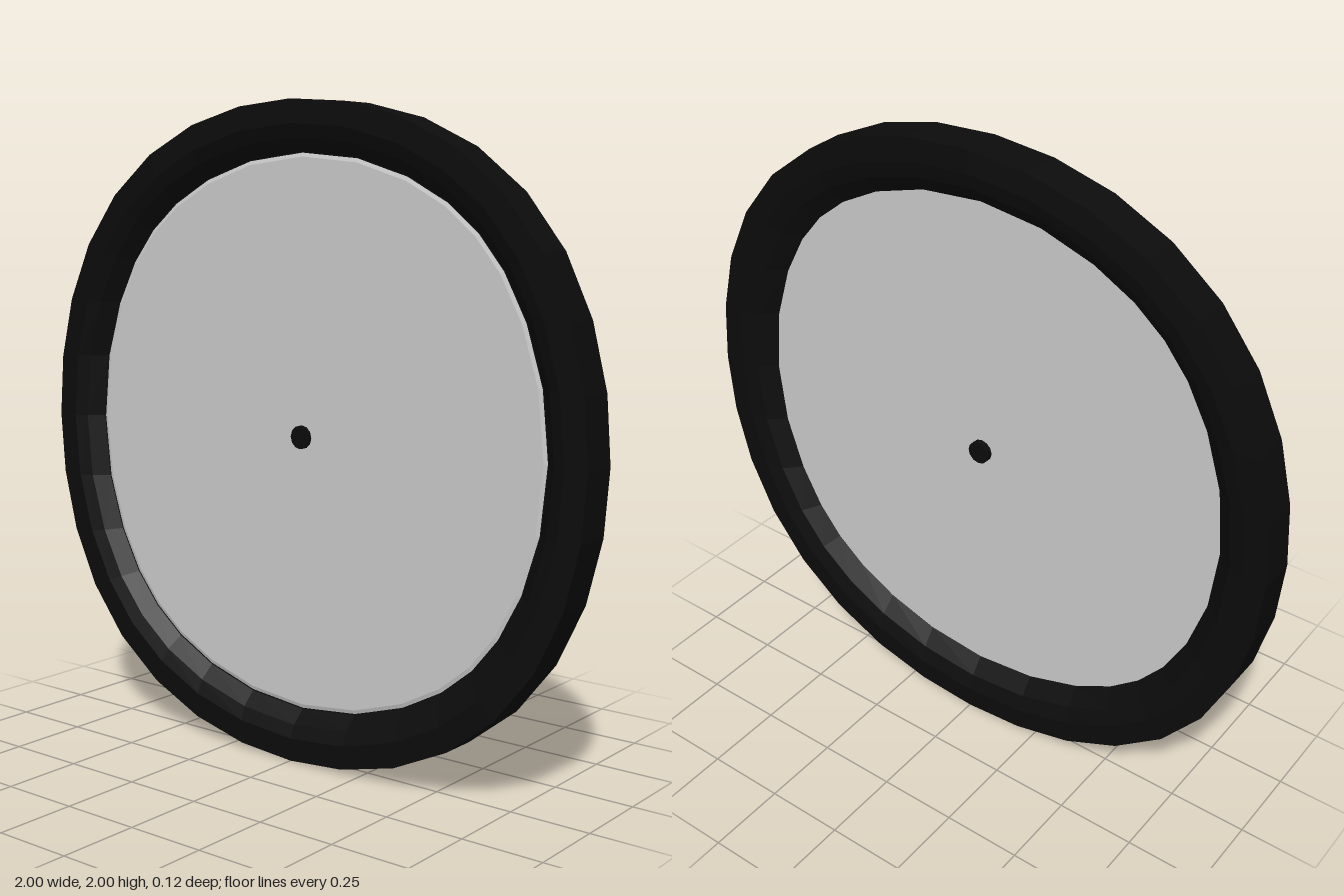
import * as THREE from 'three';

const SIDES = 32;

// Slightly squared circle of size s; inner loops bunch a little toward the diagonals
function rimPoint(s, z, j) {
  const a = (j / SIDES) * Math.PI * 2;
  const r = s * (1 + 0.028 * Math.sin(2 * a) ** 2);
  const twist = s > 0.8 ? ((1 - s) / 0.15) * 0.06 * Math.sin(4 * a) : 0;
  return [r * Math.cos(a + twist), r * Math.sin(a + twist), z];
}

// Sweep a [radius, z] profile around the axis
function sweep(profile) {
  const positions = [], index = [], n = profile.length;
  for (let j = 0; j < SIDES; j++)
    for (const [s, z] of profile) positions.push(...rimPoint(s, z, j));
  for (let j = 0; j < SIDES; j++) {
    const k = (j + 1) % SIDES;
    for (let i = 0; i < n - 1; i++) {
      const a = j * n + i, b = k * n + i;
      index.push(a, b, a + 1, b, b + 1, a + 1);
    }
  }
  const g = new THREE.BufferGeometry();
  g.setAttribute('position', new THREE.Float32BufferAttribute(positions, 3));
  g.setIndex(index);
  g.computeVertexNormals();
  return g;
}

export function createModel() {
  const group = new THREE.Group();
  const black = new THREE.MeshStandardMaterial({ color: 0x0c0c0c, flatShading: true });
  const grey = new THREE.MeshStandardMaterial({ color: 0xcccccc, flatShading: true, side: THREE.DoubleSide });

  const add = (name, geometry, material) => {
    const mesh = new THREE.Mesh(geometry, material);
    mesh.name = name;
    mesh.position.y = 1;
    group.add(mesh);
    return mesh;
  };

  // Tyre: flat tread with sides sloping in to the disc
  add('tyre', sweep([
    [0.827, -0.002], [0.88, -0.045], [0.93, -0.062], [1, -0.062],
    [1, 0.062], [0.93, 0.062], [0.89, 0.045], [0.85, 0.002], [0.827, -0.002],
  ]), black);

  // Thin wheel disc with a bevelled rim
  add('disc', sweep([[0.87, -0.006], [0.835, 0.005], [0, 0.005]]), grey);

  // Axle hub through the middle
  const hub = add('hub', new THREE.CylinderGeometry(0.036, 0.036, 0.03, 12), black);
  hub.rotation.x = Math.PI / 2;

  return group;
}
